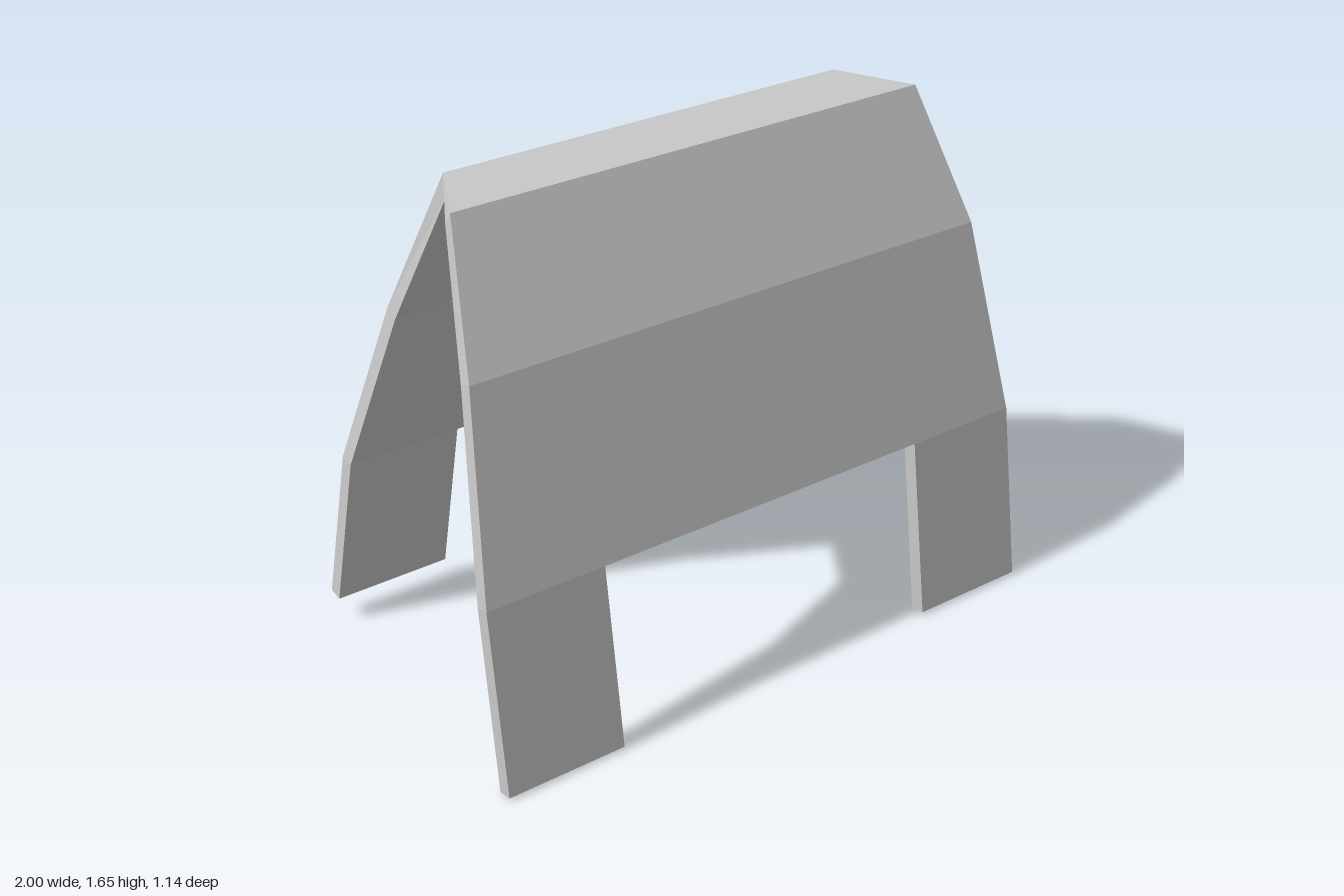
import * as THREE from 'three';

// Stations along the arch, from the front feet over the top to the back feet:
// outer [z, y], inner [z, y], half width w, half width of the gap between the legs
const stations = [
  { outer: [0.57, 0.01], inner: [0.52, 0], w: 1, gap: 0.595 },
  { outer: [0.483, 0.607], inner: [0.435, 0.598], w: 0.995, gap: 0.595 },
  { outer: [0.33, 1.235], inner: [0.285, 1.217], w: 0.925 },
  { outer: [0.127, 1.652], inner: [0.097, 1.61], w: 0.84 },
  { outer: [-0.122, 1.655], inner: [-0.095, 1.61], w: 0.715 },
  { outer: [-0.327, 1.175], inner: [-0.281, 1.157], w: 0.815 },
  { outer: [-0.483, 0.63], inner: [-0.434, 0.62], w: 0.925, gap: 0.54 },
  { outer: [-0.567, 0.098], inner: [-0.517, 0.09], w: 0.965, gap: 0.568 },
];

// Four corners of the sheet at a station, between two x positions
function ring(s, x0, x1) {
  const [oz, oy] = s.outer, [iz, iy] = s.inner;
  return [[x0, oy, oz], [x1, oy, oz], [x1, iy, iz], [x0, iy, iz]];
}

// Flat-faced mesh from a list of four-cornered faces
function quadMesh(name, quads, material) {
  const positions = quads.flatMap(([a, b, c, d]) => [a, b, c, a, c, d].flat());
  const geometry = new THREE.BufferGeometry();
  geometry.setAttribute('position', new THREE.Float32BufferAttribute(positions, 3));
  geometry.computeVertexNormals();
  const mesh = new THREE.Mesh(geometry, material);
  mesh.name = name;
  return mesh;
}

// Side faces joining consecutive rings
function loft(rings) {
  const quads = [];
  for (let i = 0; i + 1 < rings.length; i++) {
    const p = rings[i], q = rings[i + 1];
    for (let k = 0; k < 4; k++) {
      const n = (k + 1) % 4;
      quads.push([p[k], p[n], q[n], q[k]]);
    }
  }
  return quads;
}

const reversed = (r) => [...r].reverse();

export function createModel() {
  const group = new THREE.Group();
  group.name = 'archedShell';
  const grey = new THREE.MeshStandardMaterial({ color: 0xc8c8c8 });
  grey.name = 'lightGrey';

  // Folded body panel, closed underneath between the legs
  const body = stations.slice(1, 7);
  const first = body[0], last = body[5];
  group.add(quadMesh('body', [
    ...loft(body.map((s) => ring(s, -s.w, s.w))),
    reversed(ring(first, -first.gap, first.gap)),
    ring(last, -last.gap, last.gap),
  ], grey));

  // Four legs, continuing the panel at each corner
  for (const side of [-1, 1]) {
    const name = side > 0 ? 'Left' : 'Right';
    const legRing = (s) => (side > 0 ? ring(s, s.gap, s.w) : ring(s, -s.w, -s.gap));
    const front = [stations[0], stations[1]].map(legRing);
    const back = [stations[6], stations[7]].map(legRing);
    group.add(quadMesh('front' + name + 'Leg', [...loft(front), reversed(front[0])], grey));
    group.add(quadMesh('back' + name + 'Leg', [...loft(back), back[1]], grey));
  }
  return group;
}
